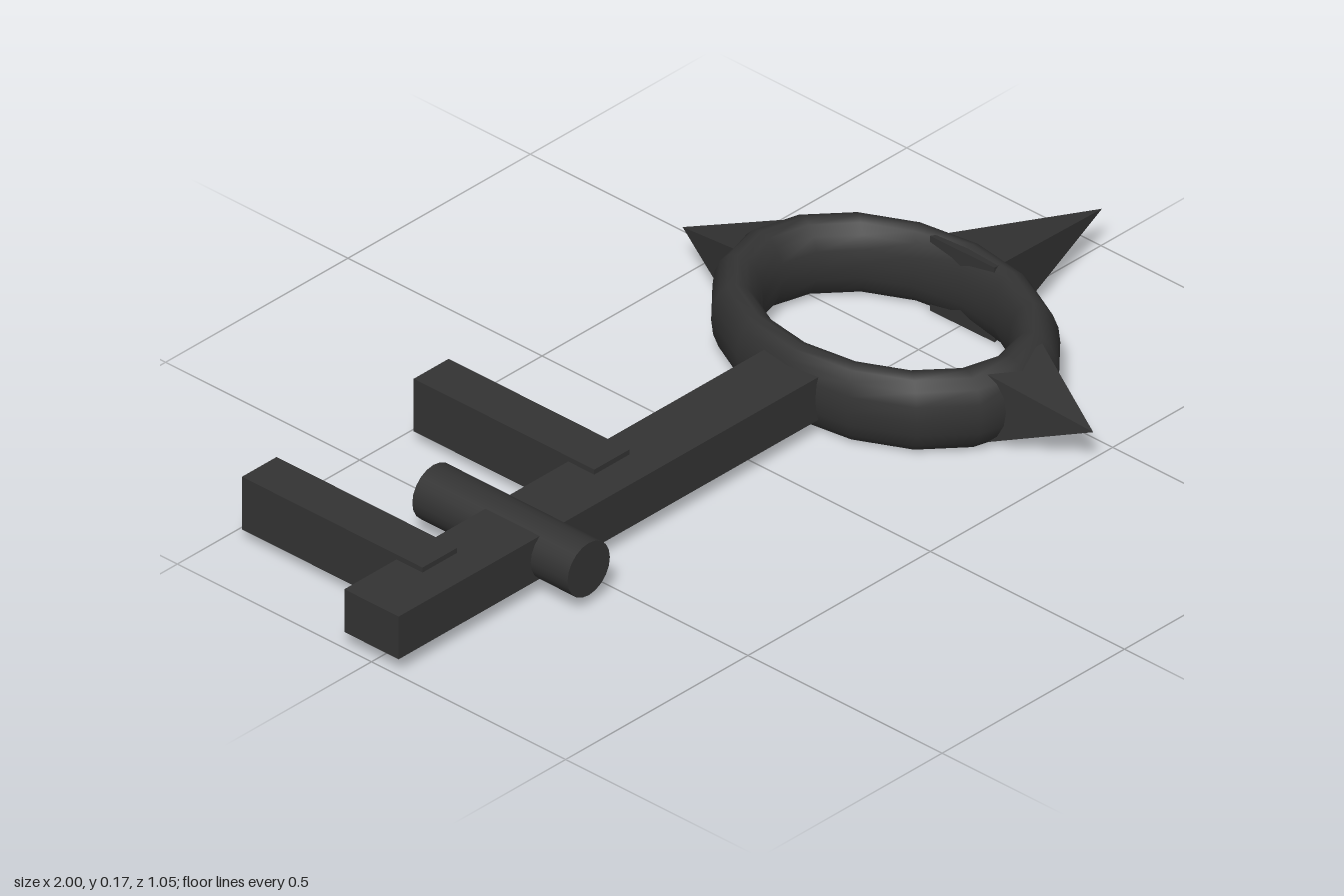
import * as THREE from 'three';

const smooth = new THREE.MeshStandardMaterial({ color: 0x333333 });
const flat = new THREE.MeshStandardMaterial({ color: 0x333333, flatShading: true });
const MID = 0.083; // height of the key's centre plane
const RING_X = 0.41;

export function createModel() {
  const key = new THREE.Group();
  key.name = 'key';

  const add = (name, geometry, material, x, y, z) => {
    const mesh = new THREE.Mesh(geometry, material);
    mesh.name = name;
    mesh.position.set(x, y, z);
    key.add(mesh);
  };

  // Box given by its extents in x and z, centred on the key's plane
  const bar = (name, x0, x1, z0, z1, height) =>
    add(name, new THREE.BoxGeometry(x1 - x0, height, z1 - z0), flat, (x0 + x1) / 2, MID, (z0 + z1) / 2);

  // Square pyramid running from its base centre to its tip
  const spike = (name, base, tip, half) => {
    const from = new THREE.Vector3(...base);
    const axis = new THREE.Vector3(...tip).sub(from);
    const length = axis.length();
    const geometry = new THREE.ConeGeometry(half * Math.SQRT2, length, 4);
    geometry.rotateY(Math.PI / 4).translate(0, length / 2, 0);
    geometry.applyQuaternion(
      new THREE.Quaternion().setFromUnitVectors(new THREE.Vector3(0, 1, 0), axis.normalize()));
    add(name, geometry, flat, from.x, from.y, from.z);
  };

  // Shaft and the two teeth of the bit
  bar('shaft', -1, 0.17, -0.07, 0.07, 0.095);
  bar('outerTooth', -0.857, -0.762, -0.468, -0.003, 0.117);
  bar('innerTooth', -0.386, -0.29, -0.468, -0.003, 0.117);

  // Round pin crossing the shaft between the teeth
  add('crossPin', new THREE.CylinderGeometry(0.058, 0.058, 0.4, 20).rotateX(Math.PI / 2),
    smooth, -0.58, MID, -0.035);

  // Oval ring of the handle
  const ring = new THREE.TorusGeometry(1, 0.172, 16, 16).rotateX(Math.PI / 2);
  ring.scale(0.237, MID / 0.172, 0.32);
  add('handleRing', ring, smooth, RING_X, MID, 0);

  // Spikes around the ring
  spike('endSpike', [0.615, MID, 0.005], [1, MID, 0.003], 0.083);
  spike('frontSpike', [0.418, MID, 0.325], [0.418, MID, 0.527], 0.075);
  spike('backSpike', [0.414, MID, -0.315], [0.414, MID, -0.527], 0.075);

  return key;
}
